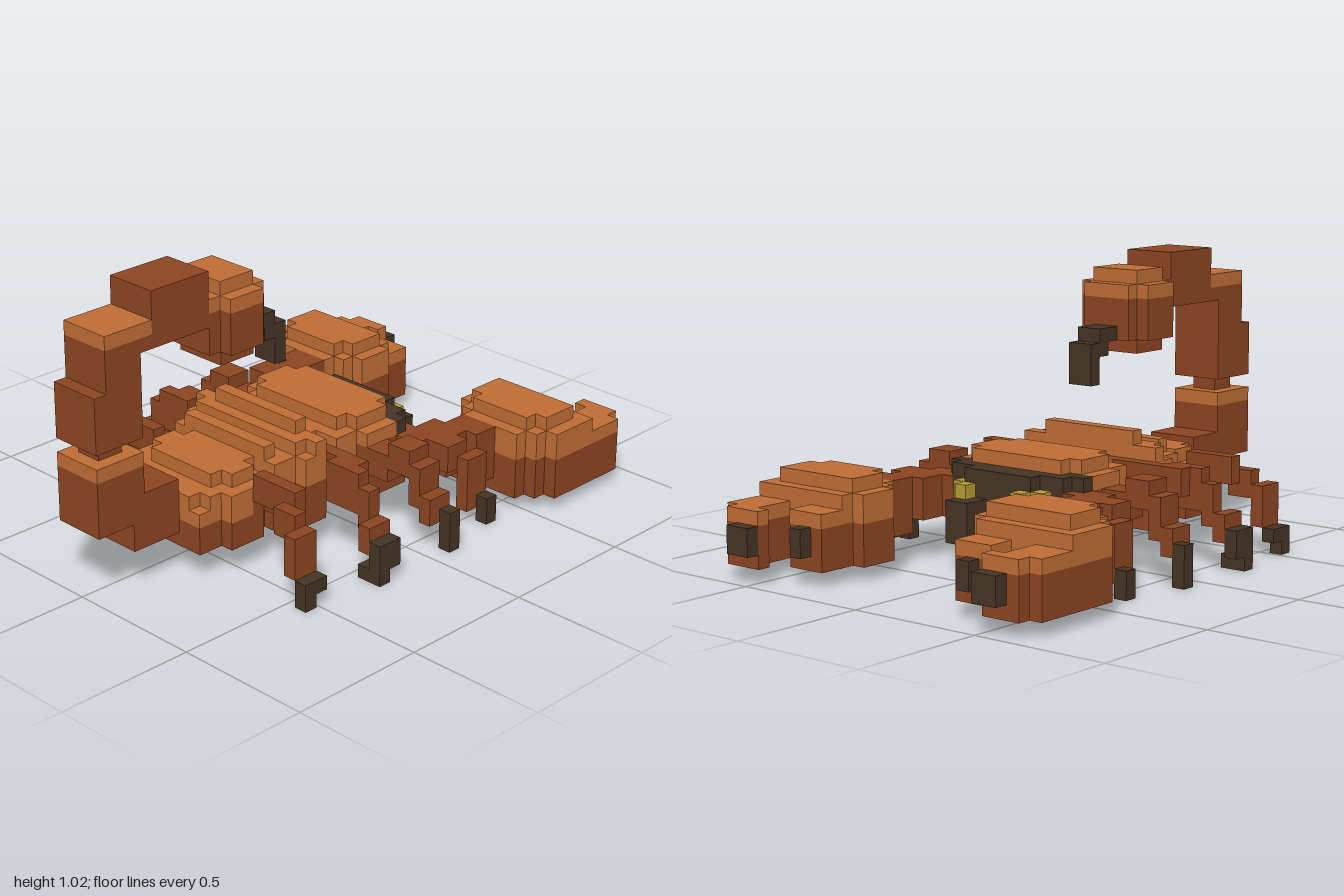
import * as THREE from 'three';
import { mergeGeometries } from 'three/addons/utils/BufferGeometryUtils.js';

// One block unit; the model is 41 units long and its head points to -z
const U = 2 / 41;

const material = (name, color) => {
  const m = new THREE.MeshStandardMaterial({ color });
  m.name = name;
  return m;
};

export function createModel() {
  const model = new THREE.Group();
  model.name = 'scorpion';
  const light = material('light orange shell', 0xbf6d35);
  const brown = material('red brown shell', 0x8c4522);
  const dark = material('dark brown tips', 0x443424);
  const yellow = material('yellow eyes', 0xb89b35);

  // Box from block edges: x0, x1, y0, y1, z0, z1
  const block = ([x0, x1, y0, y1, z0, z1]) =>
    new THREE.BoxGeometry((x1 - x0) * U, (y1 - y0) * U, (z1 - z0) * U)
      .translate((x0 + x1) / 2 * U, (y0 + y1) / 2 * U, (z0 + z1) / 2 * U - 1);

  const add = (name, mat, boxes) => {
    const mesh = new THREE.Mesh(mergeGeometries(boxes.map(block)), mat);
    mesh.name = name;
    model.add(mesh);
  };
  // Left part on +x and its mirror on -x
  const pair = (name, mat, boxes) => {
    add(name + 'Left', mat, boxes);
    add(name + 'Right', mat, boxes.map(([a, b, ...r]) => [-b, -a, ...r]));
  };
  // Block centred on x with a half width
  const mid = (w, y0, y1, z0, z1) => [-w, w, y0, y1, z0, z1];

  // Carapace
  add('carapaceBase', brown, [mid(6, 2, 6, 17, 20), mid(6, 2, 5, 16, 17),
    mid(5, 2, 5, 20, 22), mid(5, 2, 4, 15, 16), mid(4, 2, 4, 14, 15)]);
  add('carapaceTop', light, [mid(6, 6, 7, 17, 20), mid(5, 7, 8, 17, 20),
    mid(4, 5, 8, 16, 17), mid(5, 5, 7, 20, 22), mid(4, 7, 8, 20, 21)]);

  // Face
  add('faceBand', dark, [mid(5, 4, 7, 15, 16), mid(3, 4, 7, 14, 15),
    [-6, -4, 5, 7, 16, 17], [4, 6, 5, 7, 16, 17]]);
  pair('mouthpart', dark, [[1, 3, 2, 5, 12, 14]]);
  pair('eye', yellow, [[3, 4, 4, 6, 14, 15], [2, 3, 5, 6, 13, 14]]);

  // Abdomen rings: z, half width, brown top, shell top, ridge half width
  const rings = [
    [22, 4, 5, 7, 3], [23, 4, 4, 5, 4], [24, 6, 5, 9, 4], [25, 6, 5, 8, 5],
    [26, 5, 5, 7, 5], [27, 5, 5, 8, 4], [28, 4, 5, 7, 3], [29, 5, 5, 7, 4],
    [30, 5, 4, 7, 4], [31, 5, 4, 7, 3], [32, 4, 4, 6, 4], [33, 4, 4, 6, 3],
  ];
  add('abdomenBase', brown, rings.map(([z, w, b]) => mid(w, 2, b, z, z + 1)));
  add('abdomenShell', light, rings.flatMap(([z, w, b, t, r]) =>
    [mid(w, b, t - 1, z, z + 1), mid(r, t - 1, t, z, z + 1)].filter(q => q[3] > q[2])));

  // Tail, curling up and forward over the back
  add('tailBrown', brown, [
    mid(2, 3, 7, 34, 38),
    mid(2, 5, 9, 38, 41), mid(2, 7, 9, 37, 38),
    mid(1, 10, 11, 38, 40),
    mid(2, 11, 15, 37, 41),
    mid(2, 15, 18, 37, 40), mid(2, 17, 18, 36, 37),
    mid(2, 17, 21, 31, 36),
  ]);
  add('tailLight', light, [mid(2, 9, 10, 37, 41), mid(2, 18, 19, 36, 40)]);
  add('stingerBulbBase', brown, [mid(3, 15, 18, 27, 30), mid(2, 15, 18, 26, 27),
    mid(2, 15, 18, 30, 31), mid(2, 14, 15, 27, 30)]);
  add('stingerBulbTop', light, [mid(3, 18, 19, 27, 30), mid(2, 18, 19, 26, 27),
    mid(2, 18, 19, 30, 31), mid(2, 19, 20, 27, 30)]);
  add('stinger', dark, [mid(1, 15, 16, 24, 26), mid(1, 14, 15, 24, 25), mid(1, 12, 15, 23, 24)]);

  // Pincers: outline rows of x0, x1, z0, z1
  const palm = [[6, 14, 5, 6], [5, 14, 6, 9], [6, 13, 9, 10], [7, 12, 10, 11]];
  const fingers = [[11, 14, 2, 5], [10, 13, 1, 2], [6, 9, 3, 5]];
  const layer = (rows, y0, y1) => rows.map(([a, b, c, d]) => [a, b, y0, y1, c, d]);
  pair('pincerBase', brown, [...layer(palm, 1, 4), ...layer(fingers, 1, 4)]);
  pair('pincerTop', light, [...layer(palm, 4, 6), ...layer(fingers, 4, 5),
    [6, 13, 6, 7, 6, 9], [7, 12, 6, 7, 9, 10]]);
  pair('pincerTips', dark, [[10, 12, 2, 4, 0, 1], [7, 8, 2, 4, 2, 3]]);
  pair('arm', brown, [[7, 10, 2, 6, 11, 13], [6, 9, 3, 6, 13, 15], [5, 8, 3, 6, 15, 16],
    [6, 8, 3, 6, 16, 17]]);

  // Legs, front to back, with their dark feet
  const legs = [
    [[[8, 10, 4, 6, 14, 16], [10, 11, 1, 5, 13, 15]],
      [[11, 12, 0, 2, 13, 14]]],
    [[[6, 8, 4, 6, 18, 20], [8, 10, 5, 7, 18, 20], [10, 11, 3, 6, 18, 20], [11, 12, 2, 4, 18, 20]],
      [[12, 13, 0, 3, 18, 19]]],
    [[[0, 9, 5, 7, 23, 24], [7, 10, 4, 7, 24, 25], [10, 11, 3, 6, 24, 25], [11, 12, 2, 4, 24, 26]],
      [[12, 13, 0, 3, 25, 26], [12, 13, 1, 3, 24, 25], [11, 12, 0, 1, 25, 26]]],
    [[[4, 7, 4, 6, 28, 29], [5, 9, 5, 7, 29, 30], [8, 10, 4, 6, 30, 31], [10, 11, 2, 5, 30, 32]],
      [[11, 12, 0, 2, 31, 32], [11, 12, 1, 2, 30, 31]]],
  ];
  legs.forEach(([limb, foot], n) => {
    pair('leg' + (n + 1), brown, limb);
    pair('foot' + (n + 1), dark, foot);
  });

  return model;
}
